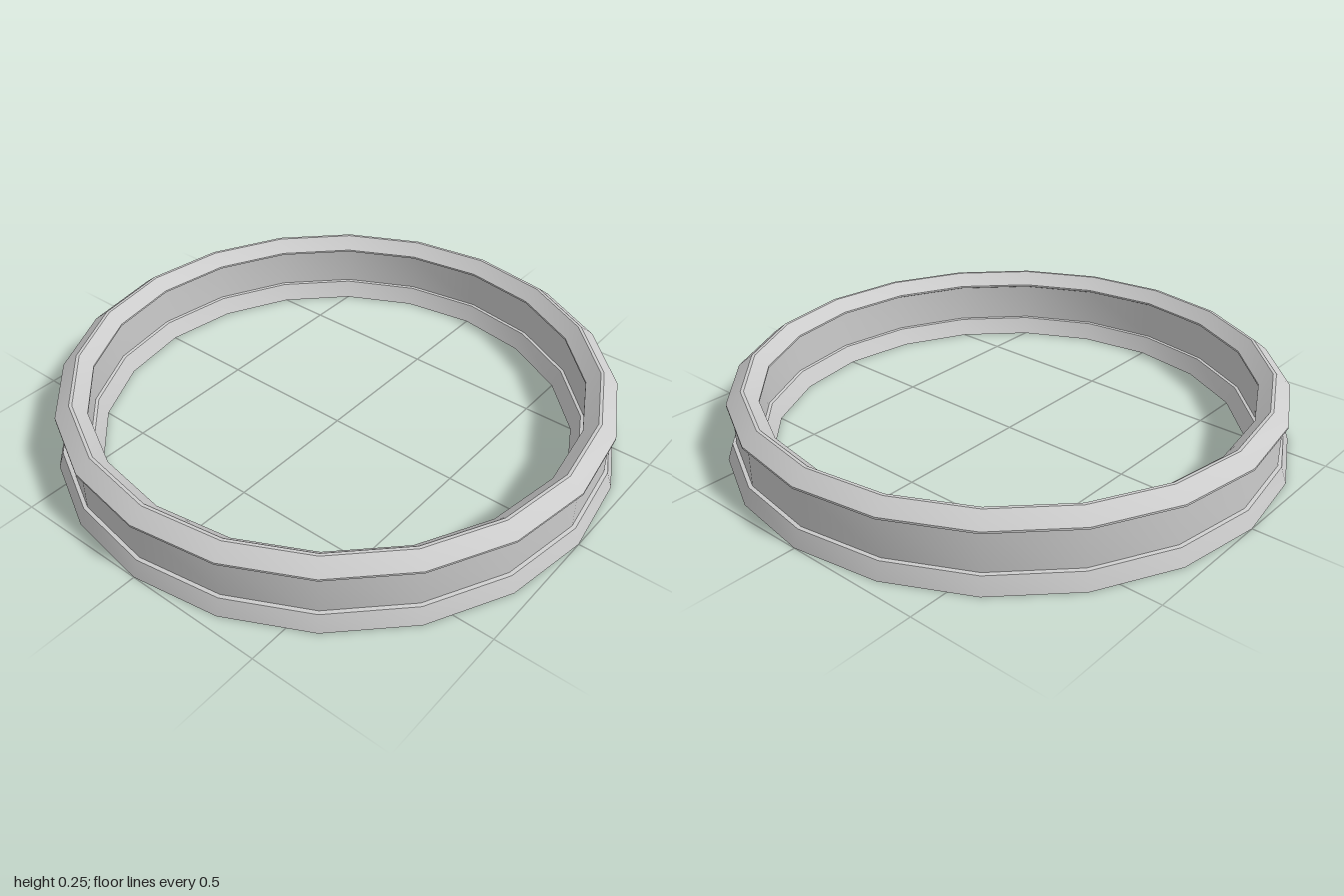
import * as THREE from 'three';
import { toCreasedNormals } from 'three/addons/utils/BufferGeometryUtils.js';

const SIDES = 20;

export function createModel() {
  const group = new THREE.Group();
  group.name = 'ringBand';

  // closed cross-section [radius, height]: outside going up, inside going down
  const profile = [
    // outer foot, wall and lip
    [1, 0], [0.98, 0.06], [0.967, 0.062], [0.967, 0.2], [0.985, 0.206], [0.985, 0.213],
    // narrow crest between two bevels
    [0.933, 0.255], [0.922, 0.255],
    // inner lip, wall and foot
    [0.875, 0.213], [0.875, 0.206], [0.888, 0.2], [0.888, 0.062], [0.877, 0.06], [0.848, 0],
    // flat underside
    [1, 0],
  ].map(([r, y]) => new THREE.Vector2(r, y));

  // creases keep the bevels sharp while the walls stay smooth around the ring
  const geometry = toCreasedNormals(new THREE.LatheGeometry(profile, SIDES), 0.34);
  const ring = new THREE.Mesh(geometry, new THREE.MeshStandardMaterial({ color: 0xcccccc }));
  ring.name = 'ring';
  group.add(ring);
  return group;
}
